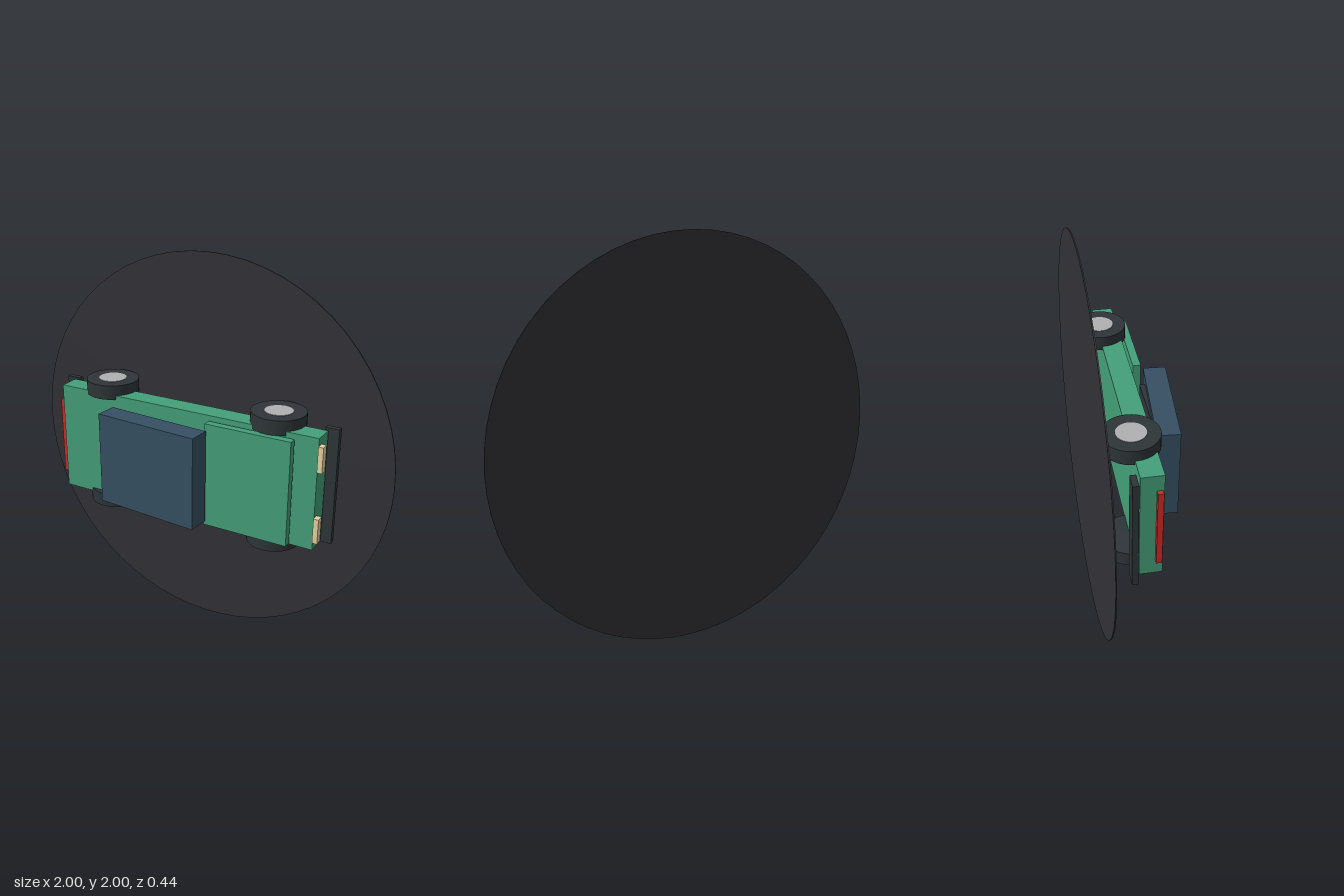
import * as THREE from 'three';

const material = (color) => new THREE.MeshStandardMaterial({ color });

export function createModel() {
  const model = new THREE.Group();
  const green = material(0x44a079);
  const glass = material(0x364f62);
  const rubber = material(0x2e3538);
  const metal = material(0xb0b0b3);
  const cream = material(0xe6d3a2);
  const red = material(0xd62828);
  const ground = material(0x323136);

  const add = (name, geometry, mat, x, y, z) => {
    const mesh = new THREE.Mesh(geometry, mat);
    mesh.name = name;
    mesh.position.set(x, y, z);
    model.add(mesh);
    return mesh;
  };
  // Box given by its extents on each axis
  const box = (name, mat, [x0, x1], [y0, y1], [z0, z1]) =>
    add(name, new THREE.BoxGeometry(x1 - x0, y1 - y0, z1 - z0), mat,
      (x0 + x1) / 2, (y0 + y1) / 2, (z0 + z1) / 2);

  // Upright ground disc; the car's roof points towards +z
  add('groundDisc', new THREE.CylinderGeometry(1, 1, 0.006, 64), ground, 0, 1, -0.222)
    .rotation.x = Math.PI / 2;

  // Body, hood and tilted cabin
  box('body', green, [-0.71, 0.71], [0.72, 1.29], [-0.073, 0.034]);
  box('hood', green, [0.16, 0.6], [0.737, 1.27], [0.053, 0.093]);
  add('cabin', new THREE.BoxGeometry(0.556, 0.475, 0.112), glass, -0.106, 1.003, 0.142)
    .rotation.y = -0.077;
  box('cabinFloor', rubber, [-0.3, 0.08], [0.8, 1.21], [0.072, 0.11]);

  // Bumpers
  box('frontBumper', rubber, [0.69, 0.76], [0.71, 1.3], [-0.111, -0.083]);
  box('rearBumper', rubber, [-0.765, -0.69], [0.715, 1.295], [-0.115, -0.086]);

  // Lights
  for (const y of [0.825, 1.188]) {
    box('headlight', cream, [0.71, 0.735], [y - 0.064, y + 0.064], [0.002, 0.04]);
  }
  box('tailLight', red, [-0.733, -0.71], [0.8, 1.208], [0, 0.027]);

  // Wheels with hubcaps on the outer faces
  const tyre = new THREE.CylinderGeometry(0.133, 0.133, 0.073, 32);
  const hub = new THREE.CylinderGeometry(0.07, 0.07, 0.01, 32);
  for (const x of [-0.465, 0.465]) {
    for (const side of [-1, 1]) {
      add('wheel', tyre, rubber, x, 1.004 + side * 0.302, -0.068);
      add('hubcap', hub, metal, x, 1.004 + side * 0.336, -0.068);
    }
  }
  return model;
}
